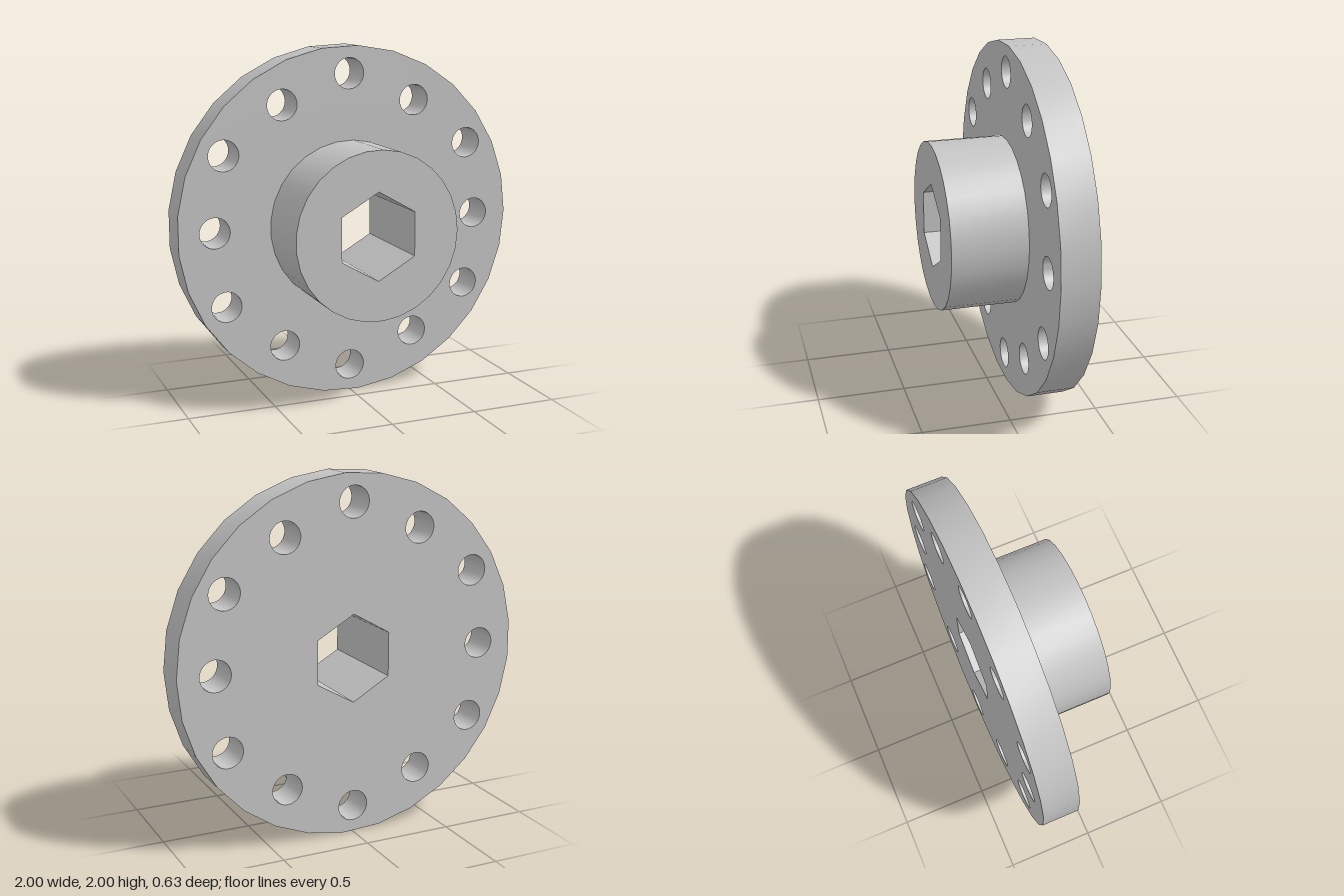
import * as THREE from 'three';
import { toCreasedNormals } from 'three/addons/utils/BufferGeometryUtils.js';

// Regular polygon as a list of points
function ring(radius, sides, start = 0, cx = 0, cy = 0) {
  return Array.from({ length: sides }, (_, i) => {
    const a = start + (i / sides) * Math.PI * 2;
    return new THREE.Vector2(cx + radius * Math.cos(a), cy + radius * Math.sin(a));
  });
}

// Prism with through holes between two z positions, smooth round walls
function prism(outline, holes, z0, z1) {
  const shape = new THREE.Shape(outline);
  holes.forEach((points) => shape.holes.push(new THREE.Path(points)));
  const geometry = new THREE.ExtrudeGeometry(shape, { depth: z1 - z0, bevelEnabled: false });
  geometry.translate(0, 0, z0);
  return toCreasedNormals(geometry, 0.6);
}

export function createModel() {
  const steel = new THREE.MeshStandardMaterial({ color: 0xc4c4c4 });
  steel.name = 'greySteel';

  const SIDES = 29;
  const BACK = -0.316, STEP = -0.107, FRONT = 0.316;
  const hexBore = ring(0.246, 6, Math.PI / 6);

  // Twelve bolt holes on two alternating pitch circles
  const boltHoles = [];
  for (let i = 0; i < 12; i++) {
    const a = (i * Math.PI) / 6;
    const pitch = i % 2 ? 0.847 : 0.792;
    boltHoles.push(ring(0.087, SIDES, 0, pitch * Math.cos(a), pitch * Math.sin(a)));
  }
  // Holes at 0, 60, 120... sit on the inner circle; the vertical pair is on the outer one

  const flange = new THREE.Mesh(
    prism(ring(1.0015, SIDES), [hexBore, ...boltHoles], BACK, STEP), steel);
  flange.name = 'boltFlange';

  const hub = new THREE.Mesh(prism(ring(0.473, SIDES), [hexBore], STEP, FRONT), steel);
  hub.name = 'hexHub';

  const model = new THREE.Group();
  model.name = 'hexHubFlange';
  model.add(flange, hub);
  model.children.forEach((part) => part.position.set(-0.003, 1, 0));
  return model;
}
